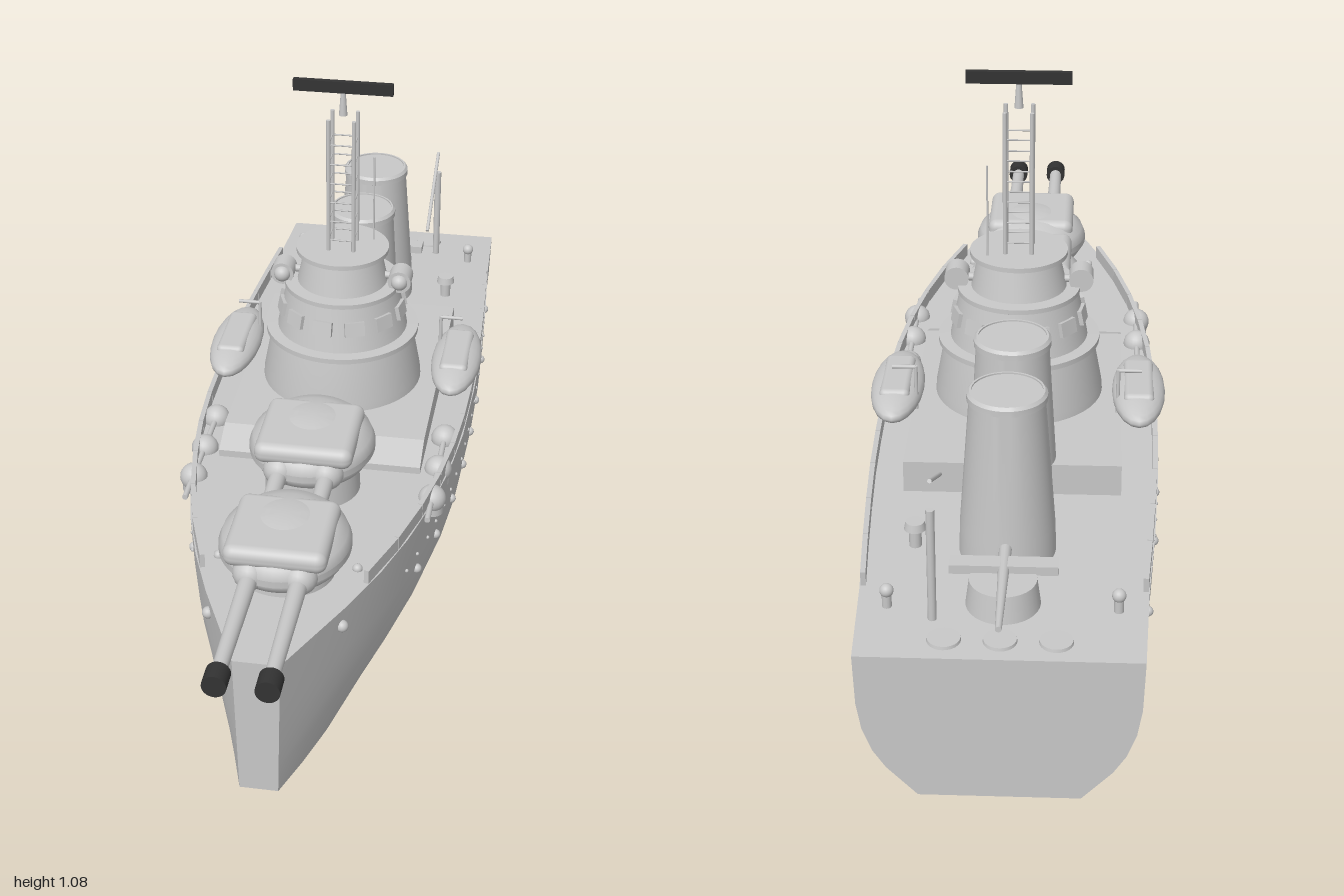
import * as THREE from 'three';
import { toCreasedNormals } from 'three/addons/utils/BufferGeometryUtils.js';
import { RoundedBoxGeometry } from 'three/addons/geometries/RoundedBoxGeometry.js';

const mat = (name, color) => {
  const m = new THREE.MeshStandardMaterial({ color });
  m.name = name;
  return m;
};
const grey = mat('ship grey', 0xc8c8c8);
const dark = mat('dark metal', 0x333333);

const V = (x, y, z) => new THREE.Vector3(x, y, z);
function add(parent, name, geo, m, x = 0, y = 0, z = 0) {
  const mesh = new THREE.Mesh(geo, m);
  mesh.name = name;
  mesh.position.set(x, y, z);
  parent.add(mesh);
  return mesh;
}
function beam(parent, name, a, b, r, m, r2 = r, sides = 12) {
  const d = b.clone().sub(a);
  const mesh = add(parent, name, new THREE.CylinderGeometry(r2, r, d.length(), sides), m);
  mesh.position.copy(a).addScaledVector(d, 0.5);
  mesh.quaternion.setFromUnitVectors(V(0, 1, 0), d.normalize());
  return mesh;
}
const lathe = (pts, seg = 48) =>
  toCreasedNormals(new THREE.LatheGeometry(pts.map(p => new THREE.Vector2(...p)), seg), 0.6);
const ball = (r) => new THREE.SphereGeometry(r, 20, 14);

// Deck plan: [z, half width]
const plan = [[-1, .258], [-.8, .266], [-.6, .28], [-.4, .289], [-.2, .292], [0, .288], [.15, .275],
  [.3, .25], [.42, .222], [.54, .185], [.66, .138], [.77, .088], [.865, .045]];
function halfWidth(z) {
  let i = 0;
  while (i < plan.length - 2 && z > plan[i + 1][0]) i++;
  const [[z0, w0], [z1, w1]] = [plan[i], plan[i + 1]];
  return w0 + (w1 - w0) * (z - z0) / (z1 - z0);
}
const deckY = z => .298 + .066 * (z + 1) / 1.865;

// Hull lofted through the deck plan stations
function hullGeometry() {
  const section = [[1, 1], [.985, .66], [.95, .48], [.88, .32], [.79, .2], [.57, 0]];
  const rings = plan.map(([z, w]) => {
    const t = Math.max(0, (z + .4) / 1.265), keel = .06 * t * t, top = deckY(z);
    const half = section.map(([f, h]) => {
      const bow = .83 + .17 * h;
      return [w * (f + (bow - f) * t ** 4), keel + (top - keel) * h];
    });
    return [...half.map(([x, y]) => [x, y, z]), ...half.reverse().map(([x, y]) => [-x, y, z])];
  });
  const pos = [], n = rings[0].length;
  const tri = (a, b, c) => pos.push(...a, ...b, ...c);
  for (let i = 0; i < rings.length - 1; i++)
    for (let j = 0; j < n; j++) {
      const k = (j + 1) % n, A = rings[i], B = rings[i + 1];
      tri(A[j], B[j], B[k]);
      tri(A[j], B[k], A[k]);
    }
  const stern = rings[0], stem = rings[rings.length - 1];
  for (let j = 1; j < n - 1; j++) {
    tri(stern[0], stern[j], stern[j + 1]);
    tri(stem[0], stem[j + 1], stem[j]);
  }
  const g = new THREE.BufferGeometry();
  g.setAttribute('position', new THREE.Float32BufferAttribute(pos, 3));
  return toCreasedNormals(g, .45);
}

// Domed turret with a low rounded roof and twin guns
function turret(parent, name, y, z, muzzleZ) {
  const g = new THREE.Group();
  g.name = name;
  g.position.set(0, y, z);
  parent.add(g);
  const body = add(g, 'turretBody', lathe([[0, -.047], [.085, -.045], [.115, -.03], [.129, -.008], [.129, .006],
    [.121, .026], [.1, .045], [.07, .058], [.035, .065], [0, .067]]), grey);
  body.scale.z = 1.1;
  add(g, 'turretRoof', new RoundedBoxGeometry(.2, .045, .2, 4, .02), grey, 0, .04, .03);
  add(g, 'barbette', new THREE.CylinderGeometry(.095, .1, .1, 40), grey, 0, -.08, 0);
  for (const s of [-1, 1]) {
    add(g, 'gunCollar', ball(.034), grey, s * .048, 0, .11);
    beam(g, 'gunBarrel', V(s * .048, -.005, .1), V(s * .048, -.005, muzzleZ - z), .018, grey, .014, 20);
  }
}

export function createModel() {
  const ship = new THREE.Group();
  ship.name = 'battleship';
  add(ship, 'hull', hullGeometry(), grey);

  // Deckhouse with sloped front edge
  const side = new THREE.Shape([[-.47, .28], [.175, .28], [.175, .355], [.11, .383], [-.47, .383]]
    .map(p => new THREE.Vector2(...p)));
  const house = new THREE.ExtrudeGeometry(side, { depth: .43, bevelEnabled: false });
  house.rotateY(-Math.PI / 2).translate(.215, 0, 0);
  add(ship, 'deckhouse', house, grey);

  // Bridge tower with flared platforms
  const tz = -.143;
  add(ship, 'bridgeTower', lathe([[0, .37], [.175, .37], [.173, .4], [.155, .497], [.167, .499], [.167, .51],
    [.142, .511], [.122, .608], [.126, .61], [.126, .62], [.098, .621], [.083, .688], [.1, .69], [.1, .7], [0, .7]]),
    grey, 0, 0, tz);
  for (let i = 0; i < 12; i++) {
    const a = (i * 30 - 10) * Math.PI / 180;
    const w = add(ship, 'bridgeWindow', new THREE.BoxGeometry(.043, .031, .014), grey,
      Math.sin(a) * .131, .564, tz + Math.cos(a) * .131);
    w.rotation.set(-.2, a, 0, 'YXZ');
  }
  for (const s of [-1, 1]) {
    const lamp = add(ship, 'searchlight', new THREE.CylinderGeometry(.025, .025, .045, 24), grey, s * .128, .635, tz + .01);
    lamp.rotation.x = Math.PI / 2;
    add(ship, 'searchlightLens', ball(.018), grey, s * .128, .635, tz + .03);
    beam(ship, 'searchlightArm', V(s * .08, .635, tz), V(s * .128, .635, tz), .008, grey);
  }

  // Lattice mast, radar and aerial
  const m = .027, corners = [[-m, -m], [m, -m], [m, m], [-m, m]];
  corners.forEach(([x, z], i) => {
    const [x2, z2] = corners[(i + 1) % 4];
    beam(ship, 'mastPost', V(x, .69, tz + z), V(x, 1.003, tz + z), .0045, grey);
    for (let k = 0; k < 6; k++) {
      const y = .724 + k * .0445;
      beam(ship, 'mastRung', V(x, y, tz + z), V(x2, y, tz + z2), .0017, grey, .0017, 6);
    }
  });
  beam(ship, 'radarPost', V(0, 1.005, tz), V(0, 1.06, tz), .009, grey, .005);
  add(ship, 'radarBar', new THREE.BoxGeometry(.21, .025, .012), dark, 0, 1.068, tz);
  beam(ship, 'aerial', V(.062, .69, -.18), V(.062, .895, -.18), .002, grey);

  // Funnels
  for (const [z, r] of [[-.435, .086], [-.655, .09]])
    add(ship, 'funnel', lathe([[0, .29], [r + .002, .29], [r, .37], [.071, .628], [.075, .63], [.075, .642], [.07, .648],
      [.066, .648], [.066, .645], [0, .645]]), grey, 0, 0, z);

  // Main gun turrets
  turret(ship, 'forwardTurret', .42, .56, .97);
  turret(ship, 'upperTurret', .448, .25, .6);

  for (const s of [-1, 1]) {
    beam(ship, 'muzzle', V(s * .048, .415, .958), V(s * .048, .415, 1), .023, dark, .023, 24);

    // Lifeboats on davits
    const boat = add(ship, 'lifeboat', ball(1), grey, s * .25, .405, -.195);
    boat.scale.set(.055, .032, .15);
    add(ship, 'lifeboatCover', new RoundedBoxGeometry(.062, .03, .17, 3, .012), grey, s * .25, .422, -.195);
    beam(ship, 'davitPost', V(s * .207, .37, -.25), V(s * .207, .481, -.25), .004, grey);
    beam(ship, 'davitArm', V(s * .207, .479, -.25), V(s * .255, .479, -.25), .004, grey);

    // Small domed gun mounts along the side
    for (const z of [.03, .15, .26]) {
      const x = s * .251;
      add(ship, 'sideGunBase', new THREE.CylinderGeometry(.024, .024, .04, 20), grey, x, .33, z);
      add(ship, 'sideGunDome', ball(.029), grey, x, .341, z);
      beam(ship, 'sideGunBarrel', V(x, .345, z), V(x, .345, z + .085), .006, grey);
    }

    // Bulwark panels following the deck edge
    for (let z = -.79; z < .58; z += .125) {
      const z2 = z + .123, a = V(s * (halfWidth(z) - .007), deckY(z) + .012, z);
      const b = V(s * (halfWidth(z2) - .007), deckY(z2) + .012, z2);
      const p = add(ship, 'bulwark', new THREE.BoxGeometry(.01, .035, a.distanceTo(b)), grey);
      p.position.copy(a).lerp(b, .5);
      p.lookAt(b);
    }

    // Portholes and hull rivets
    for (const z of [.355, .23, .095, -.04, -.175, -.31, -.495, -.74])
      add(ship, 'porthole', ball(.01), grey, s * halfWidth(z) * .985, .23, z);
    for (let i = 0; i < 17; i++) {
      const z = .42 - i * .06;
      add(ship, 'hullRivet', new THREE.SphereGeometry(.004, 8, 6), grey, s * halfWidth(z) * .993, .27, z);
    }
    add(ship, 'bowFairlead', ball(.012), grey, s * .13, .322, .68);
    add(ship, 'deckKnob', ball(.01), grey, s * .138, .355, .54);

    // Stern bollards
    beam(ship, 'bollard', V(s * .21, .29, -.85), V(s * .21, .335, -.85), .009, grey);
    add(ship, 'bollardCap', ball(.013), grey, s * .21, .337, -.85);
  }

  // Mushroom vent and stern hatches
  beam(ship, 'ventPipe', V(.175, .29, -.655), V(.175, .35, -.655), .012, grey);
  add(ship, 'ventCap', new THREE.CylinderGeometry(.018, .021, .016, 24), grey, .175, .355, -.655);
  for (const x of [-.1, 0, .1])
    add(ship, 'sternHatch', new THREE.CylinderGeometry(.03, .032, .01, 24), grey, x, .3, -.945);

  // Aft gun
  add(ship, 'aftGunBase', new THREE.CylinderGeometry(.062, .07, .06, 32), grey, 0, .325, -.83);
  add(ship, 'aftGunShield', new THREE.BoxGeometry(.2, .018, .035), grey, 0, .361, -.797);
  beam(ship, 'aftGunBarrel', V(0, .362, -.745), V(0, .362, -1), .012, grey, .006);

  // Stern crane
  beam(ship, 'cranePost', V(.125, .29, -.885), V(.125, .53, -.885), .008, grey);
  beam(ship, 'craneBoom', V(.125, .475, -.67), V(.125, .585, -.88), .004, grey);
  return ship;
}
